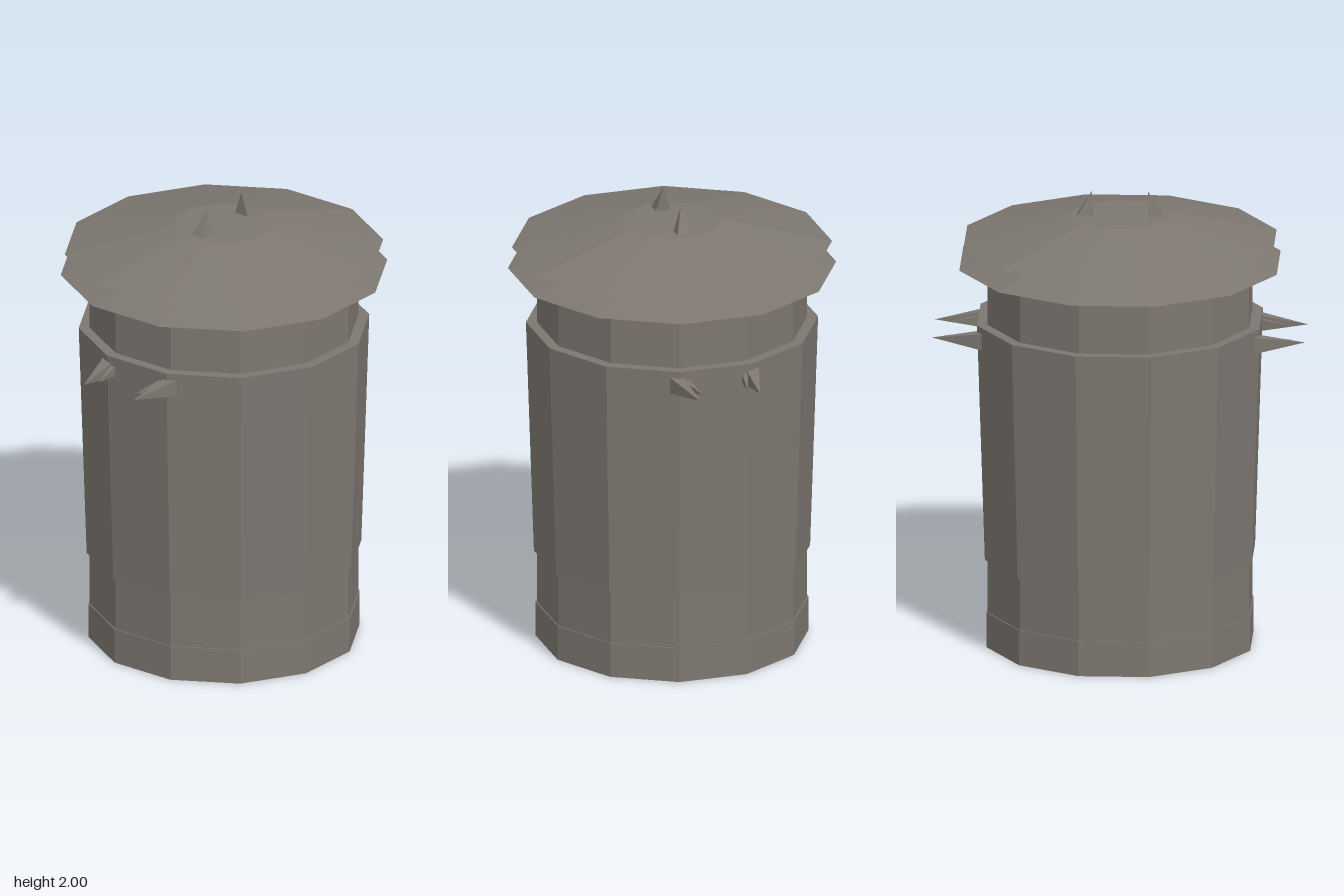
import * as THREE from 'three';

const SIDES = 12;
const HALF = Math.PI / SIDES;

// Twelve-sided turned part; profile holds [distance to flat side, height], bottom to top.
function turned(name, profile, material) {
  const points = profile.map(([r, y]) => new THREE.Vector2(r / Math.cos(HALF), y));
  const mesh = new THREE.Mesh(new THREE.LatheGeometry(points, SIDES, HALF), material);
  mesh.name = name;
  return mesh;
}

// Four-sided spike: base ring of corners running counter-clockwise seen from the tip.
function spike(name, corners, tip, material) {
  const positions = [];
  corners.forEach((c, i) => positions.push(...c, ...corners[(i + 1) % corners.length], ...tip));
  const geometry = new THREE.BufferGeometry();
  geometry.setAttribute('position', new THREE.Float32BufferAttribute(positions, 3));
  geometry.computeVertexNormals();
  const mesh = new THREE.Mesh(geometry, material);
  mesh.name = name;
  return mesh;
}

export function createModel() {
  const model = new THREE.Group();
  model.name = 'trashCan';
  const metal = new THREE.MeshStandardMaterial({ color: 0x7d7770 });
  metal.name = 'dull grey metal';
  metal.flatShading = true;
  const thinMetal = metal.clone();
  thinMetal.side = THREE.DoubleSide;

  // Can body, with a slightly flared foot and a wider tapered sleeve
  model.add(turned('body', [[0, 0], [0.565, 0], [0.565, 0.155], [0.56, 0.155], [0.56, 1.7]], metal));
  model.add(turned('sleeve', [[0.55, 0.39], [0.572, 0.39], [0.605, 1.44], [0.55, 1.44]], metal));

  // Two stacked lid cones
  model.add(turned('lidRim', [[0, 1.69], [0.68, 1.69], [0.26, 1.79]], metal));
  model.add(turned('lidTop', [[0, 1.785], [0.663, 1.785], [0.21, 1.895], [0, 1.895]], metal));

  // Broken handle stubs: a long and a short spike at each end, on both sides
  for (const side of [1, -1]) {
    const handle = new THREE.Group();
    handle.name = side > 0 ? 'leftHandle' : 'rightHandle';
    for (const end of [1, -1]) {
      const stub = (name, z0, z1, h, tipX, tipZ) => {
        const x = 0.585 * side, y = 1.376;
        const corners = [[z0, -h], [z0, h], [z1, h], [z1, -h]].map(([z, dy]) => [x, y + dy, z * end]);
        handle.add(spike(name, corners, [tipX * side, y, tipZ * end], thinMetal));
      };
      stub('longSpike', 0.14, 0.2, 0.036, 0.8, 0.135);
      stub('shortSpike', 0.12, 0.15, 0.025, 0.74, 0.1);
    }
    model.add(handle);

    // Upright stub of the lid handle
    const base = [[0.12, 0.034], [0.184, 0.034], [0.184, -0.034], [0.12, -0.034]];
    model.add(spike('lidHandleStub', base.map(([x, z]) => [x * side, 1.893, z]), [0.12 * side, 2, 0], thinMetal));
  }
  return model;
}
